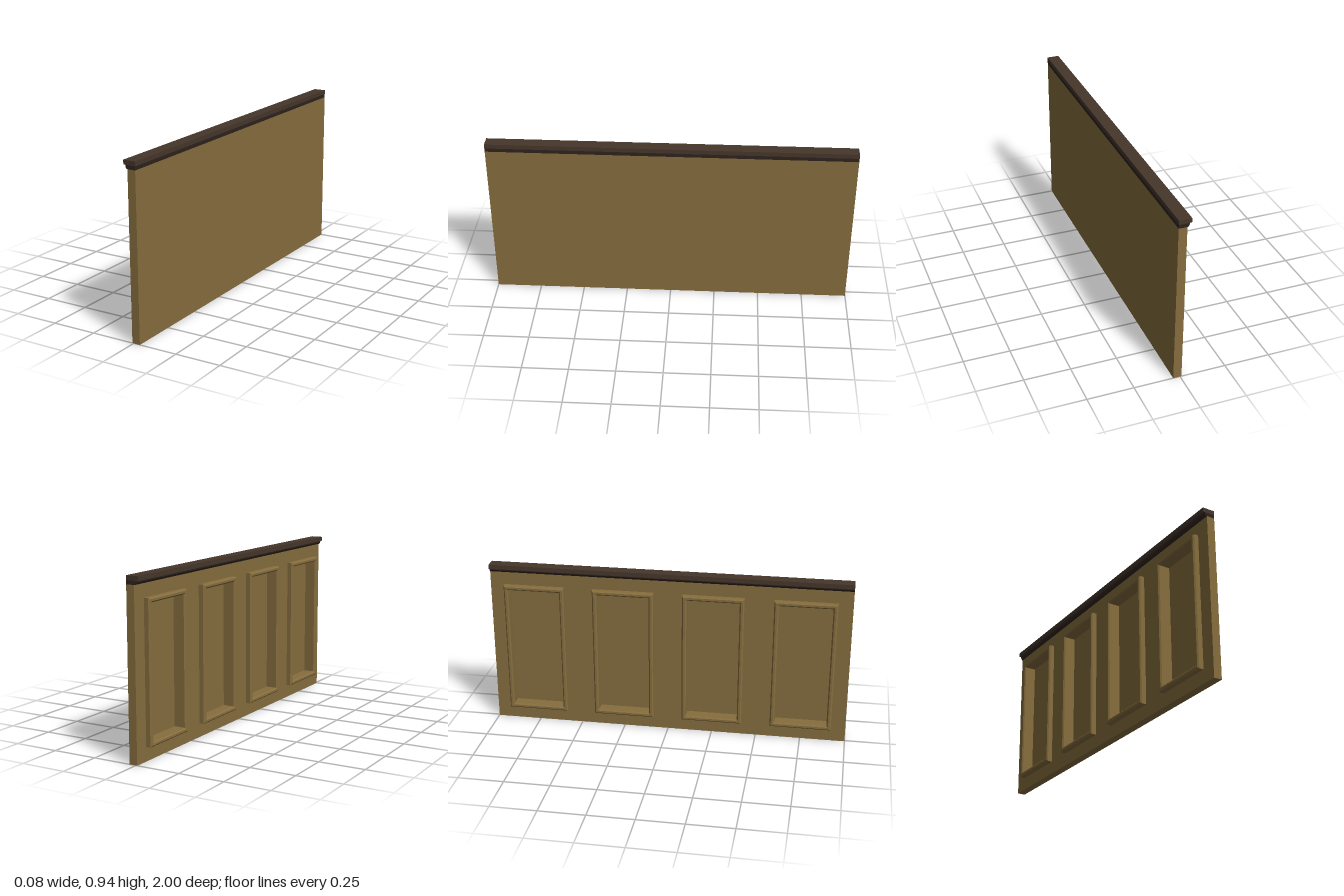
import * as THREE from 'three';

const wood = new THREE.MeshStandardMaterial({ color: 0x866d3e, flatShading: true });
const darkWood = new THREE.MeshStandardMaterial({ color: 0x46362b, flatShading: true });
const trimWood = new THREE.MeshStandardMaterial({ color: 0x2e231e, flatShading: true });

const WALL_TOP = 0.893, BACK = 0.037, FACE = -0.008, RECESS = 0.029;

// Closed loop of a rectangle, given by half width and bottom and top heights
function rect(PathType, w, y0, y1) {
  const p = new PathType();
  p.moveTo(-w, y0).lineTo(w, y0).lineTo(w, y1).lineTo(-w, y1).closePath();
  return p;
}

// Rectangle with a rectangular hole, extruded towards -x starting at x = fromX
function openPanel(outer, inner, fromX, options) {
  const shape = rect(THREE.Shape, ...outer);
  shape.holes.push(rect(THREE.Path, ...inner));
  return new THREE.ExtrudeGeometry(shape, options).rotateY(-Math.PI / 2).translate(fromX, 0, 0);
}

function add(parent, name, geometry, material) {
  const mesh = new THREE.Mesh(geometry, material);
  mesh.name = name;
  parent.add(mesh);
  return mesh;
}

export function createModel() {
  const model = new THREE.Group();
  model.name = 'panelledWall';

  // Wall sections, each with a deep framed recess on the -x side
  const body = openPanel([0.25, 0, WALL_TOP], [0.155, 0.09, 0.805], RECESS,
    { depth: RECESS - FACE, bevelEnabled: false });
  const sheet = new THREE.BoxGeometry(BACK - RECESS, WALL_TOP, 0.5)
    .translate((BACK + RECESS) / 2, WALL_TOP / 2, 0);
  const frame = openPanel([0.17, 0.074, 0.821], [0.145, 0.099, 0.796], RECESS,
    { depth: RECESS + 0.033, bevelThickness: 0.007, bevelSize: 0.007, bevelOffset: -0.007, bevelSegments: 1 });
  for (const z of [-0.75, -0.25, 0.25, 0.75]) {
    const section = new THREE.Group();
    section.name = 'wallSection';
    section.position.z = z;
    add(section, 'wallBody', body, wood);
    add(section, 'backSheet', sheet, wood);
    add(section, 'panelFrame', frame, wood);
    model.add(section);
  }

  // Moulding under the cap, sloping out on the panelled side
  const profile = new THREE.Shape([
    [BACK, WALL_TOP], [BACK, 0.913], [-0.019, 0.913], [-0.019, 0.904], [-0.012, WALL_TOP],
  ].map(([x, y]) => new THREE.Vector2(x, y)));
  add(model, 'capMoulding', new THREE.ExtrudeGeometry(profile, { depth: 2, bevelEnabled: false })
    .translate(0, 0, -1), trimWood);

  // Cap rail along the top
  add(model, 'capRail', new THREE.BoxGeometry(0.068, 0.024, 2).translate(0.003, 0.925, 0), darkWood);
  return model;
}
